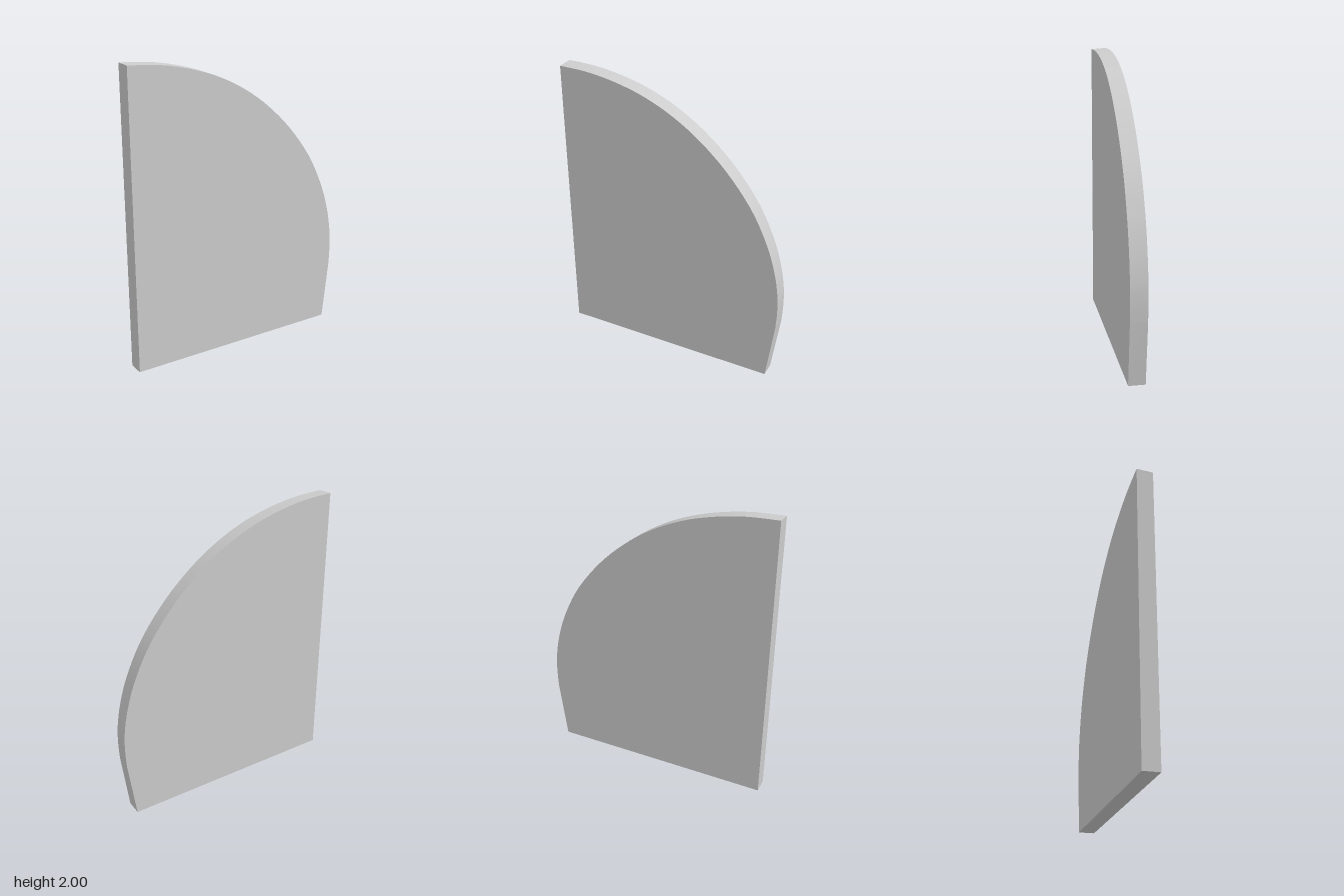
import * as THREE from 'three';
import { toCreasedNormals } from 'three/addons/utils/BufferGeometryUtils.js';

const LEFT = -0.805, DEPTH = 0.11;

export function createModel() {
  const group = new THREE.Group();
  group.name = 'quarterRoundPanel';

  // Outline: straight base and side, arched edge, tapered foot
  const arch = [
    [0.8, 0.42], [0.804, 0.55], [0.797, 0.68], [0.765, 0.85], [0.7, 1.045],
    [0.58, 1.275], [0.4, 1.5], [0.2, 1.68], [0, 1.81], [-0.2, 1.9],
    [-0.4, 1.957], [-0.6, 1.99], [LEFT, 2],
  ].map(([x, y]) => new THREE.Vector2(x, y));
  const shape = new THREE.Shape();
  shape.moveTo(LEFT, 0);
  shape.lineTo(0.747, 0);
  shape.lineTo(0.8, 0.42);
  shape.splineThru(arch.slice(1));
  shape.closePath();

  const geometry = new THREE.ExtrudeGeometry(shape, { depth: DEPTH, bevelEnabled: false, curveSegments: 4 });
  geometry.translate(0, 0, -DEPTH / 2);

  // The arched edge draws in slightly towards the front
  const p = geometry.attributes.position;
  for (let i = 0; i < p.count; i++) {
    if (p.getZ(i) > 0) {
      p.setY(i, p.getY(i) * 0.996);
      if (p.getY(i) > 0) p.setX(i, LEFT + (p.getX(i) - LEFT) * 0.998);
    }
  }

  const panel = new THREE.Mesh(
    toCreasedNormals(geometry, 0.4),
    new THREE.MeshStandardMaterial({ color: 0xcccccc })
  );
  panel.name = 'panel';
  group.add(panel);
  return group;
}
